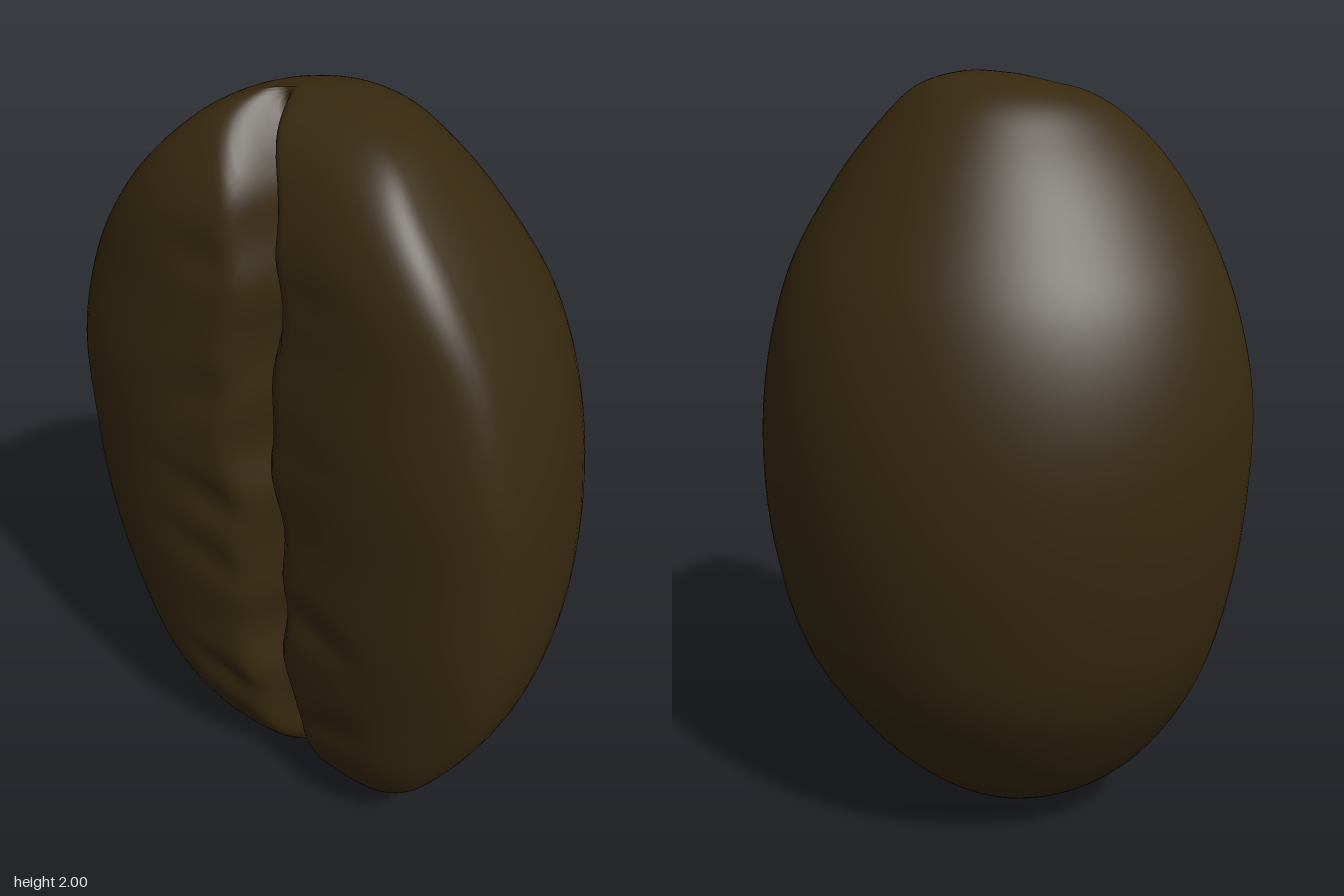
import * as THREE from 'three';

// Cross-section sizes at even angles from the bottom tip to the top tip:
// [left-hand x extent, right-hand x extent, back z, front z]
const SECTIONS = [
  [0, 0, 0.16, 0.16],
  [0.16, 0.18, 0.06, 0.25],
  [0.33, 0.34, -0.08, 0.34],
  [0.46, 0.47, -0.225, 0.4],
  [0.57, 0.59, -0.35, 0.42],
  [0.635, 0.655, -0.415, 0.438],
  [0.67, 0.67, -0.445, 0.44],
  [0.665, 0.65, -0.43, 0.445],
  [0.6, 0.59, -0.365, 0.428],
  [0.475, 0.485, -0.25, 0.415],
  [0.34, 0.355, -0.135, 0.36],
  [0.205, 0.22, -0.025, 0.26],
  [0, 0, 0.12, 0.12],
];

// Wrinkles beside the crease: [side, y at the crease, slope, depth]
const WRINKLES = [
  [-1, 1.66, -0.1, 0.014], [-1, 1.36, -0.5, 0.022], [-1, 0.93, 0.15, 0.018],
  [-1, 0.72, 0.25, 0.014], [-1, 0.28, 0.3, 0.018],
  [1, 1.62, 0.2, 0.008], [1, 1.22, 0.1, 0.006], [1, 0.72, -0.1, 0.014], [1, 0.24, 0.6, 0.022],
];

const RINGS = 100, HALF = 32, BACK = 44;
const bell = (d, width) => Math.exp(-((d / width) ** 2));

// Crease wanders slightly and bends aside at the top
const creaseX = (y) =>
  -0.015 + 0.012 * Math.sin(y * 9) + 0.008 * Math.sin(y * 21) - 0.08 * THREE.MathUtils.smoothstep(y, 1.75, 2);

// How far the flat face is pushed in at a point
function faceInset(x, y, thickness) {
  const d = x - creaseX(y);
  const side = Math.sign(d), a = Math.abs(d);
  const slit = Math.min(0.17, thickness * 0.32) * bell(d, side < 0 ? 0.05 : 0.035);
  const dip = Math.min(0.03, thickness * 0.06) * bell(d, 0.2);
  let fold = 0;
  for (const [s, y0, slope, depth] of WRINKLES) {
    if (s === side) fold += depth * bell(y - y0 - slope * a, 0.06) * bell(a - 0.16, 0.12);
  }
  return slit + dip + fold * Math.min(1, thickness / 0.4);
}

function beanGeometry() {
  const spline = (f) => new THREE.CatmullRomCurve3(SECTIONS.map(f), false, 'catmullrom', 0.5);
  const widths = spline((s) => new THREE.Vector3(s[0], s[1], 0));
  const depths = spline((s) => new THREE.Vector3(s[2], s[3], 0));
  const count = HALF * 2 + BACK;
  const positions = [], index = [];

  for (let i = 0; i <= RINGS; i++) {
    const t = i / RINGS;
    const y = 1 - Math.cos(t * Math.PI);
    const w = widths.getPoint(t), d = depths.getPoint(t);
    const thickness = d.y - d.x;
    const mid = d.x + thickness * 0.75;
    const xAt = (u) => u * (u < 0 ? w.x : w.y);

    // Flat face, left to right, with points gathered at the rim and the crease
    for (let j = 0; j < HALF * 2; j++) {
      const k = 1 - j / HALF;
      const u = Math.sign(k) * (1 - Math.cos(Math.PI * Math.abs(k))) / 2;
      const x = xAt(u);
      const rise = Math.pow(Math.max(0, 1 - Math.pow(Math.abs(u), 3.4)), 1 / 3.4);
      positions.push(x, y, mid + (d.y - mid) * rise - rise * faceInset(x, y, thickness));
    }
    // Domed back
    for (let j = 0; j < BACK; j++) {
      const a = Math.PI * (1 + j / BACK);
      positions.push(xAt(Math.cos(a)), y, mid + (mid - d.x) * Math.sin(a));
    }
  }

  for (let i = 0; i < RINGS; i++) {
    for (let j = 0; j < count; j++) {
      const a = i * count + j, b = i * count + ((j + 1) % count);
      if (i < RINGS - 1) index.push(a, a + count, b + count);
      if (i > 0) index.push(a, b + count, b);
    }
  }

  const geometry = new THREE.BufferGeometry();
  geometry.setAttribute('position', new THREE.Float32BufferAttribute(positions, 3));
  geometry.setIndex(index);
  geometry.computeVertexNormals();
  return geometry;
}

export function createModel() {
  const group = new THREE.Group();
  group.name = 'coffeeBean';
  const roast = new THREE.MeshStandardMaterial({ color: 0x37290f });
  roast.name = 'darkRoastBrown';
  const bean = new THREE.Mesh(beanGeometry(), roast);
  bean.name = 'bean';
  group.add(bean);
  return group;
}
